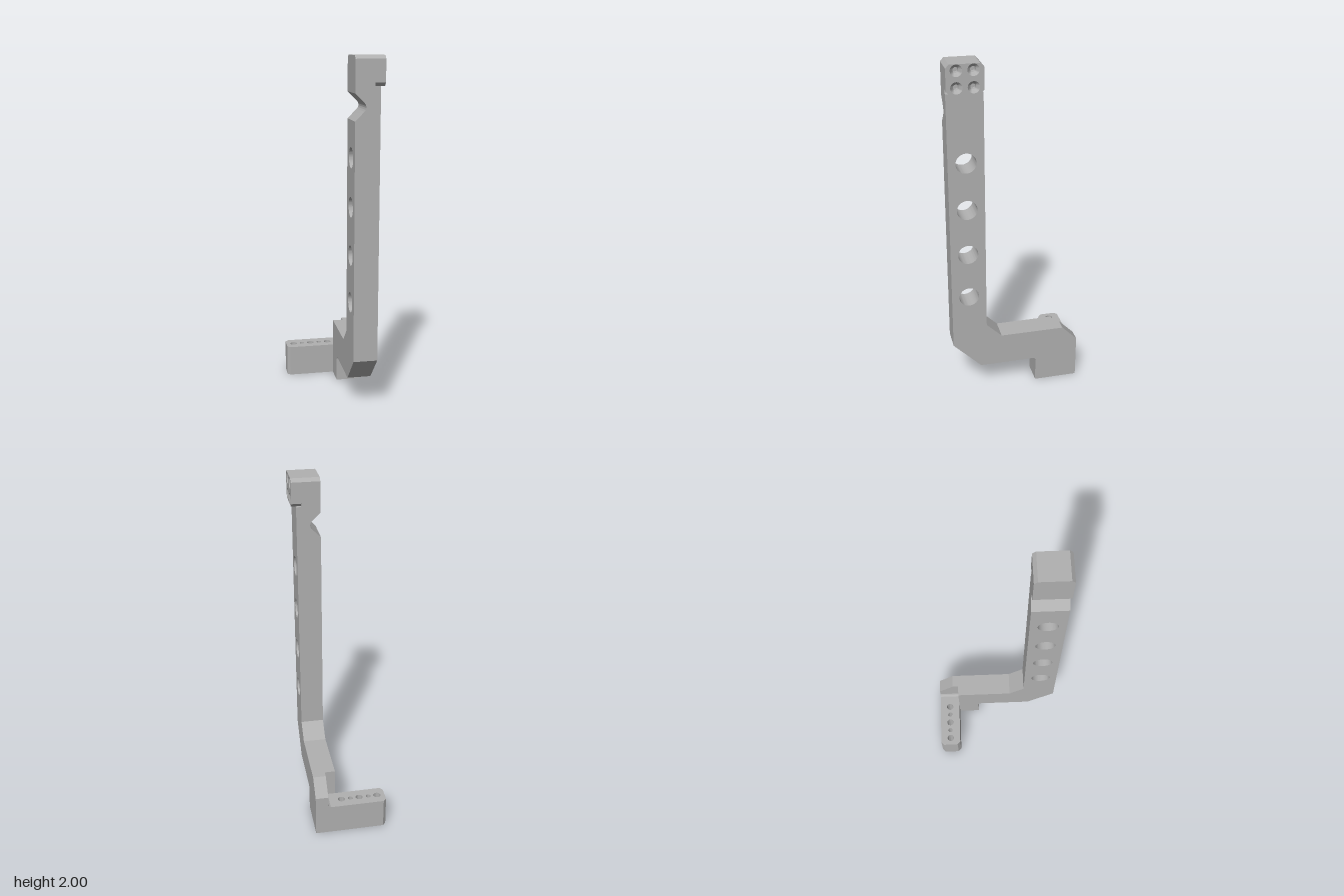
import * as THREE from 'three';
import { toCreasedNormals } from 'three/addons/utils/BufferGeometryUtils.js';

const steel = new THREE.MeshStandardMaterial({ color: 0xb0b0b0 });
steel.name = 'machined steel';

const X0 = 0.063, X1 = 0.2, XHEAD = 0.226;      // arm and head widths
const ZF = 0.378, ZB = 0.178, ZFOOT = -0.252;   // front, back of column, front of foot

const polygon = (points) => new THREE.Shape(points.map(([a, b]) => new THREE.Vector2(a, b)));

function drill(shape, a, b, r) {
  const hole = new THREE.Path();
  hole.absarc(a, b, r, 0, Math.PI * 2, true);
  shape.holes.push(hole);
}

function extrude(shape, depth) {
  return new THREE.ExtrudeGeometry(shape, { depth, bevelEnabled: false, curveSegments: 24 });
}

// Side shapes are drawn as (-z, y) and run along x.
const alongX = (shape, from, to) => extrude(shape, to - from).rotateY(Math.PI / 2).translate(from, 0, 0);
// Plan shapes are drawn as (x, -z) and run up y.
const alongY = (shape, from, to) => extrude(shape, to - from).rotateX(-Math.PI / 2).translate(0, from, 0);
// Front shapes are drawn as (x, y) and run along z.
const alongZ = (shape, from, to) => extrude(shape, to - from).translate(0, 0, from);

export function createModel() {
  const group = new THREE.Group();
  const add = (name, geometry) => {
    const mesh = new THREE.Mesh(toCreasedNormals(geometry, 0.6), steel);
    mesh.name = name;
    group.add(mesh);
    return mesh;
  };

  // Column and bent lower arm, with four through holes
  const arm = new THREE.Shape();
  arm.moveTo(-ZF, 0.32);
  arm.lineTo(-0.215, 0.157);
  arm.lineTo(0.102, 0.157);
  arm.quadraticCurveTo(0.122, 0.157, 0.122, 0.137);
  arm.lineTo(0.122, 0);
  arm.lineTo(-ZFOOT, 0);
  arm.lineTo(-ZFOOT, 0.348);
  arm.lineTo(-0.088, 0.348);
  arm.lineTo(-ZB, 0.435);
  arm.lineTo(-ZB, 1.64);
  arm.lineTo(-ZF, 1.64);
  arm.closePath();
  for (const y of [0.639, 0.911, 1.184, 1.457]) drill(arm, -0.278, y, 0.057);
  add('arm', alongX(arm, X0, X1));

  // Neck with a rounded V notch
  const neck = new THREE.Shape();
  neck.moveTo(X0, 1.64);
  neck.lineTo(X1, 1.64);
  neck.lineTo(X1, 1.842);
  neck.lineTo(X0, 1.842);
  neck.lineTo(X0, 1.805);
  neck.lineTo(0.112, 1.757);
  neck.quadraticCurveTo(0.134, 1.733, 0.112, 1.709);
  neck.lineTo(X0, 1.66);
  neck.closePath();
  add('neck', alongZ(neck, ZB, ZF));

  // Head block with chamfered top edges
  const c = 0.019;
  const top = [[-ZB, 2 - c], [-ZB - c, 2], [-ZF + c, 2], [-ZF, 2 - c]];
  add('head', alongX(polygon([[-ZF, 1.842], [-ZB, 1.842], ...top]), X0, 0.17));

  // Front plate of the head, chamfered all round, with four countersunk bores
  const plate = polygon([[-ZF, 1.842 + c], [-ZF + c, 1.842], [-ZB - c, 1.842], [-ZB, 1.842 + c], ...top]);
  const bore = [[0, -0.05], [0.015, -0.05], [0.015, -0.018], [0.032, 0]]
    .map(([r, h]) => new THREE.Vector2(r, h));
  // Wound so that the inside of the bore is the front side
  const boreGeometry = new THREE.LatheGeometry(bore.reverse(), 24).rotateZ(-Math.PI / 2);
  for (const z of [0.323, 0.233]) {
    for (const y of [1.967, 1.877]) {
      drill(plate, -z, y, 0.032);
      add('countersunkBore', boreGeometry.clone()).position.set(XHEAD, y, z);
    }
  }
  add('headPlate', alongX(plate, 0.17, XHEAD));

  // Rear block behind the arm, with a sloped top corner
  const rear = polygon([[-ZFOOT, 0], [ZF, 0], [ZF, 0.258], [0.288, 0.348], [-ZFOOT, 0.348]]);
  add('rearBlock', alongX(rear, 0.125, X1));

  // Sideways foot with chamfered end and a row of through holes
  const foot = polygon([[-0.228, 0.27], [-0.21, -ZFOOT], [0.125, -ZFOOT], [0.125, ZF], [-0.21, ZF], [-0.228, 0.36]]);
  [-0.182, -0.128, -0.073, -0.018, 0.036].forEach((x, i) => drill(foot, x, 0.315, i % 2 ? 0.014 : 0.021));
  add('foot', alongY(foot, 0, 0.185));

  // Fillet between foot and rear block
  const fillet = new THREE.Shape();
  fillet.moveTo(0.107, 0.185);
  fillet.lineTo(0.125, 0.185);
  fillet.lineTo(0.125, 0.203);
  fillet.absarc(0.107, 0.203, 0.018, 0, -Math.PI / 2, true);
  add('footFillet', alongZ(fillet, -ZF, ZFOOT));

  return group;
}
